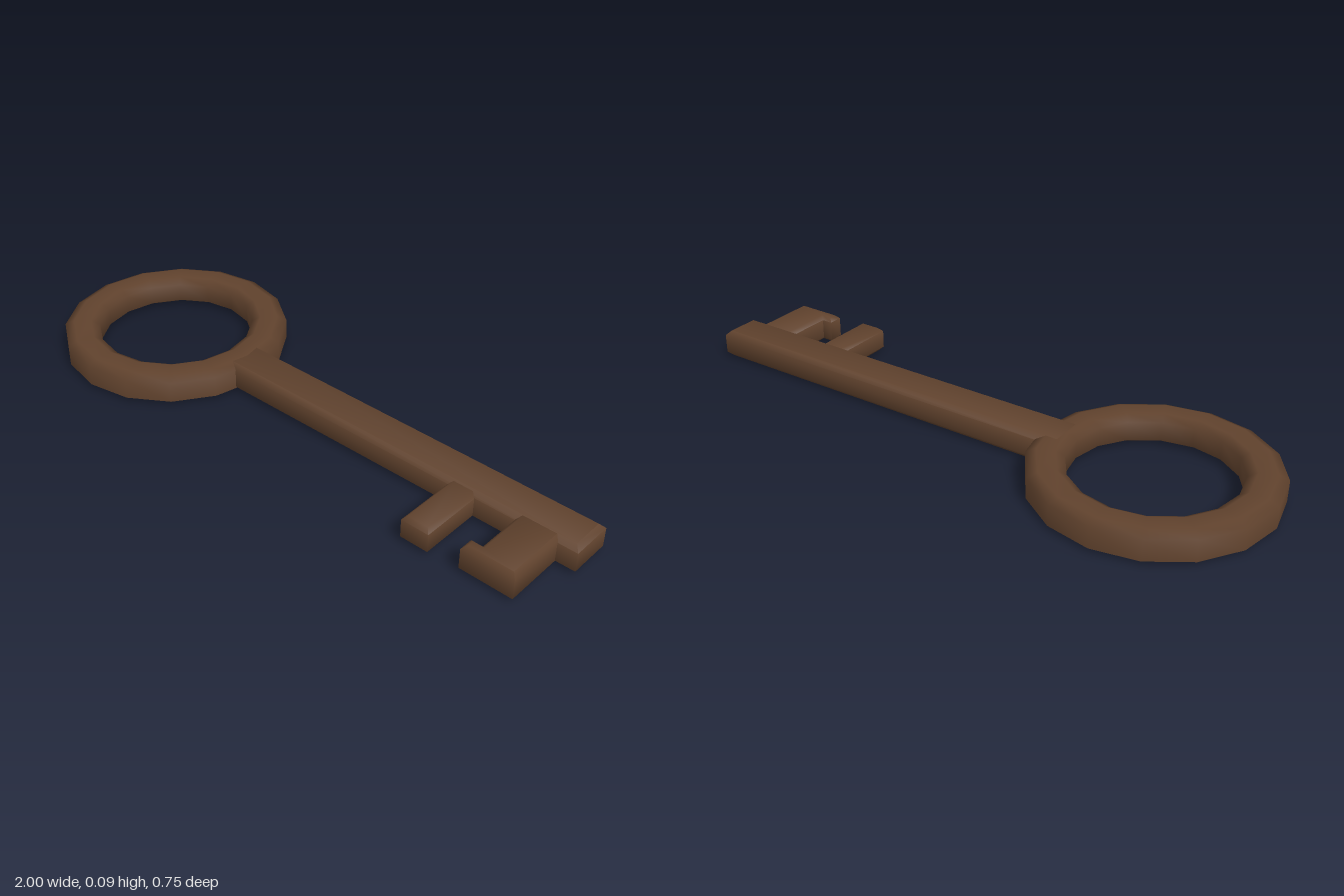
import * as THREE from 'three';
import { toCreasedNormals } from 'three/addons/utils/BufferGeometryUtils.js';

const bronze = new THREE.MeshStandardMaterial({ color: 0x60422d });
bronze.name = 'dark bronze';

// Flat bar from an (x, z) outline lying between y0 and y1, with chamfered rims
function bevelledBar(name, outline, y0, y1, bevel) {
  const shape = new THREE.Shape(outline.map(([x, z]) => new THREE.Vector2(x, z)));
  const geometry = new THREE.ExtrudeGeometry(shape, {
    depth: y1 - y0 - 2 * bevel,
    bevelEnabled: true,
    bevelThickness: bevel,
    bevelSize: bevel,
    bevelOffset: -bevel,
    bevelSegments: 1,
  });
  geometry.rotateX(Math.PI / 2);
  geometry.translate(0, y1 - bevel, 0);
  const mesh = new THREE.Mesh(toCreasedNormals(geometry, Math.PI / 3), bronze);
  mesh.name = name;
  return mesh;
}

export function createModel() {
  const key = new THREE.Group();
  key.name = 'key';

  // Ring handle: chamfered section turned in sixteen facets
  const section = [
    [0.373, 0.012], [0.373, 0.08], [0.342, 0.095], [0.285, 0.095],
    [0.257, 0.078], [0.257, 0.017], [0.285, 0], [0.345, 0], [0.373, 0.012],
  ].map(([r, y]) => new THREE.Vector2(r, y));
  const ring = new THREE.Mesh(new THREE.LatheGeometry(section, 16), bronze);
  ring.name = 'ringHandle';
  ring.position.x = -0.627;
  key.add(ring);

  // Long shaft, rooted in the ring
  key.add(bevelledBar('shaft',
    [[-0.35, -0.07], [1, -0.073], [1, 0.065], [-0.35, 0.07]], 0, 0.095, 0.016));

  // Straight tooth
  key.add(bevelledBar('innerTooth',
    [[0.575, 0.03], [0.668, 0.03], [0.668, 0.27], [0.575, 0.27]], 0.004, 0.09, 0.013));

  // Hooked tooth near the tip
  key.add(bevelledBar('hookedTooth',
    [[0.803, 0.03], [0.937, 0.03], [0.937, 0.26], [0.765, 0.26], [0.765, 0.212], [0.803, 0.212]],
    0.002, 0.094, 0.013));

  return key;
}
